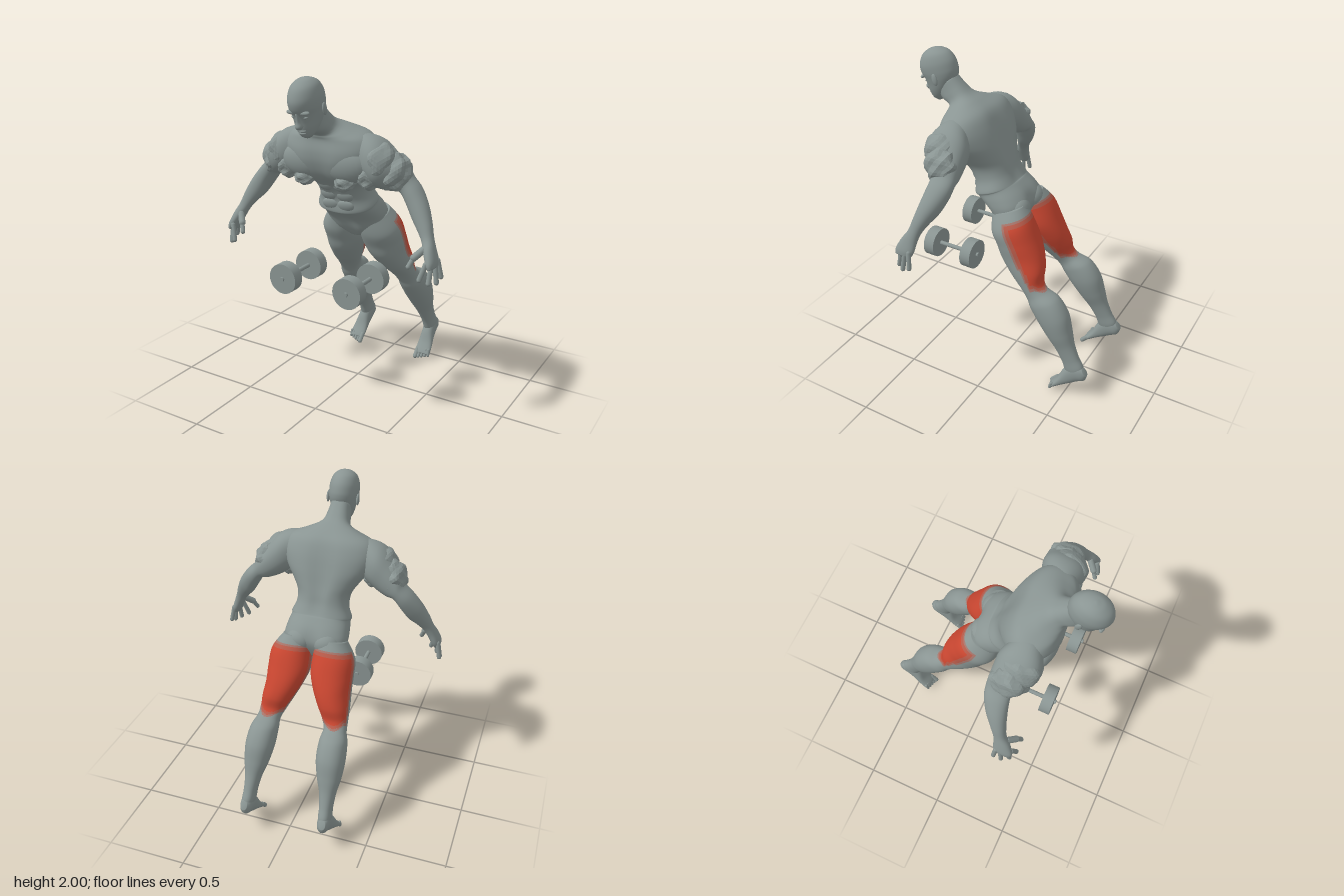
import * as THREE from 'three';

const body = new THREE.MeshStandardMaterial({ color: 0x8a9593 });
body.name = 'bodyGrey';
const red = new THREE.MeshStandardMaterial({ color: 0xcb4731 });
red.name = 'muscleRed';
const fade = new THREE.MeshStandardMaterial({ color: 0xb85b4a });
fade.name = 'muscleEdge';
const faint = new THREE.MeshStandardMaterial({ color: 0xa6746a });
faint.name = 'muscleFaintEdge';

// Catmull-Rom blend of a table of numbers at row position u
function sample(rows, u) {
  const i = Math.min(Math.floor(u), rows.length - 2), t = u - i;
  const at = k => rows[Math.max(0, Math.min(rows.length - 1, k))];
  const [a, b, c, d] = [at(i - 1), at(i), at(i + 1), at(i + 2)];
  return b.map((_, k) => b[k] + 0.5 * t * (c[k] - a[k] + t * (2 * a[k] - 5 * b[k] + 4 * c[k] - d[k]
    + t * (3 * (b[k] - c[k]) + d[k] - a[k]))));
}

// Loft: each row is two opposite points, the half width across them, and a centre groove
function loft(rows, { across = 'x', mirror = 1, power = 2.2, paint = () => 0, steps = 5, sides = 36 } = {}) {
  const pos = [], tris = [[], [], [], []];
  const rings = (rows.length - 1) * steps;
  const sp = v => Math.sign(v) * Math.pow(Math.abs(v), 2 / power);
  for (let r = 0; r <= rings; r++) {
    const [px, py, pz, qx, qy, qz, h, g = 0] = sample(rows, r / steps);
    for (let s = 0; s < sides; s++) {
      const t = (s / sides) * Math.PI * 2, w = sp(Math.sin(t)) * h;
      const d = sp(Math.cos(t)) * (1 - g * Math.exp(-Math.pow(Math.sin(t) / 0.2, 2)));
      const x = (px + qx) / 2 + (px - qx) / 2 * d + (across === 'x' ? w : 0);
      const z = (pz + qz) / 2 + (pz - qz) / 2 * d + (across === 'z' ? w : 0);
      pos.push(x * mirror, (py + qy) / 2 + (py - qy) / 2 * d, z);
    }
  }
  for (let r = 0; r < rings; r++) for (let s = 0; s < sides; s++) {
    const n = (s + 1) % sides, a = r * sides + s, b = r * sides + n;
    tris[paint((r + 0.5) / steps, (s + 0.5) / sides * Math.PI * 2)].push(a, b, a + sides, b, b + sides, a + sides);
  }
  // end caps
  for (const r of [0, rings]) {
    const c = [0, 0, 0], id = pos.length / 3;
    for (let s = 0; s < sides; s++) for (let k = 0; k < 3; k++) c[k] += pos[(r * sides + s) * 3 + k] / sides;
    pos.push(...c);
    for (let s = 0; s < sides; s++) {
      const a = r * sides + s, b = r * sides + (s + 1) % sides;
      tris[0].push(...(r ? [a, b, id] : [b, a, id]));
    }
  }
  // face outwards: the signed volume must be positive
  let vol = 0;
  const v = i => new THREE.Vector3().fromArray(pos, i * 3), all = tris.flat();
  for (let i = 0; i < all.length; i += 3) vol += v(all[i]).dot(v(all[i + 1]).cross(v(all[i + 2])));
  if (vol < 0) for (const list of tris) list.reverse();
  const geo = new THREE.BufferGeometry();
  geo.setAttribute('position', new THREE.Float32BufferAttribute(pos, 3));
  geo.setIndex(tris.flat());
  let start = 0;
  tris.forEach((list, m) => { if (list.length) geo.addGroup(start, list.length, m); start += list.length; });
  geo.computeVertexNormals();
  return geo;
}

// rows written as frontZ, frontY, backZ, backY, centreX, halfWidth, groove
const sideRows = rows => rows.map(([fz, fy, bz, by, cx, w, g = 0]) => [cx, fy, fz, cx, by, bz, w, g]);
// rows written as outerX, outerY, innerX, innerY, centreZ, halfDepth
const frontRows = rows => rows.map(([ox, oy, ix, iy, z, w]) => [ox, oy, z, ix, iy, z, w, 0]);

// hamstring highlight: 1 red, 2 edge, 3 faint edge, by leg row u and angle t round the leg
function paintThigh(u, t) {
  const c = Math.cos(t);
  const limit = u < 3 ? 0 : -0.1 * (u - 3);
  const low = 5.25 + 0.75 * Math.max(0, (-c - 0.6) / 0.4);
  const inside = Math.min((limit - c) / 0.3, (u - 0.62) / 0.35, (low - u) / 0.7);
  return inside < 0 ? 0 : inside < 0.35 ? 3 : inside < 0.85 ? 2 : 1;
}

export function createModel() {
  const model = new THREE.Group();
  model.name = 'exerciseFigure';
  const add = (name, geo, mat = body, parent = model) => {
    const m = new THREE.Mesh(geo, mat);
    m.name = name;
    parent.add(m);
    return m;
  };
  const ball = (name, p, s, rx = 0) => {
    const m = add(name, new THREE.SphereGeometry(1, 24, 16));
    m.position.set(...p); m.scale.set(...s); m.rotation.x = rx;
  };
  const digit = (name, a, b, r) => {
    const A = new THREE.Vector3(...a), B = new THREE.Vector3(...b), d = B.clone().sub(A);
    const m = add(name, new THREE.CapsuleGeometry(r, d.length(), 5, 10));
    m.position.copy(A).add(B).multiplyScalar(0.5);
    m.quaternion.setFromUnitVectors(new THREE.Vector3(0, 1, 0), d.normalize());
  };
  // crumpled lump with faceted ridges
  const crumple = (name, p, s, seed, rough) => {
    const geo = new THREE.IcosahedronGeometry(1, 5), a = geo.attributes.position;
    for (let i = 0; i < a.count; i++) {
      const [x, y, z] = [a.getX(i), a.getY(i), a.getZ(i)];
      const k = 1 + rough * (Math.sin(6 * x + seed) * Math.sin(5 * y + 2 * seed) + 0.6 * Math.sin(9 * z + 6 * y + seed));
      a.setXYZ(i, x * k, y * k, z * k);
    }
    geo.computeVertexNormals();
    const m = add(name, geo);
    m.position.set(...p); m.scale.set(...s);
  };

  // torso with waistband step, chest and neck
  add('torso', loft(sideRows([
    [0.03, 0.98, -0.07, 1.03, 0, 0.08], [0.085, 1.03, -0.115, 1.12, 0, 0.18, 0.12], [0.13, 1.1, -0.115, 1.17, 0, 0.196, 0.12],
    [0.19, 1.15, -0.08, 1.222, 0, 0.19, 0.04], [0.225, 1.17, -0.028, 1.27, 0, 0.181], [0.238, 1.185, -0.015, 1.283, 0, 0.185, 0.03],
    [0.247, 1.26, 0.012, 1.335, 0, 0.16, 0.08], [0.3, 1.345, 0.03, 1.39, 0, 0.164, 0.09], [0.395, 1.42, 0.048, 1.45, 0, 0.21, 0.1],
    [0.435, 1.5, 0.075, 1.53, 0, 0.265, 0.1], [0.44, 1.57, 0.115, 1.62, 0, 0.285, 0.08], [0.425, 1.635, 0.165, 1.69, 0, 0.25, 0.05],
    [0.425, 1.66, 0.24, 1.73, 0, 0.16], [0.435, 1.675, 0.31, 1.76, 0, 0.088], [0.49, 1.7, 0.36, 1.8, 0, 0.07],
    [0.52, 1.74, 0.41, 1.85, 0, 0.062]]), { power: 2.4, sides: 60 }));

  // head, nose and mouth
  add('head', loft(sideRows([
    [0.53, 1.672, 0.48, 1.7, 0, 0.026], [0.56, 1.685, 0.44, 1.76, 0, 0.053], [0.583, 1.72, 0.42, 1.8, 0, 0.07],
    [0.597, 1.765, 0.405, 1.84, 0, 0.08], [0.612, 1.8, 0.4, 1.87, 0, 0.086], [0.637, 1.835, 0.403, 1.9, 0, 0.09],
    [0.647, 1.88, 0.42, 1.945, 0, 0.088], [0.63, 1.938, 0.455, 1.982, 0, 0.071], [0.59, 1.978, 0.5, 1.997, 0, 0.04],
    [0.553, 1.994, 0.535, 1.999, 0, 0.008]]), { power: 2, sides: 44 }));
  add('nose', loft(sideRows([[0.625, 1.82, 0.59, 1.83, 0, 0.012], [0.618, 1.77, 0.57, 1.79, 0, 0.014],
    [0.62, 1.74, 0.57, 1.755, 0, 0.021], [0.605, 1.726, 0.57, 1.74, 0, 0.013]])));
  ball('upperLip', [0, 1.722, 0.575], [0.03, 0.008, 0.014], 0.5);
  ball('lowerLip', [0, 1.708, 0.567], [0.026, 0.008, 0.014], 0.5);

  for (const m of [1, -1]) {
    const side = m > 0 ? 'left' : 'right';
    const P = (x, y, z) => [x * m, y, z];

    // face and trunk muscles
    ball(side + 'Ear', P(0.094, 1.834, 0.495), [0.01, 0.036, 0.018], 0.25);
    ball(side + 'Eye', P(0.036, 1.797, 0.588), [0.016, 0.008, 0.013], 0.5);
    ball(side + 'Brow', P(0.038, 1.822, 0.606), [0.034, 0.012, 0.016], 0.5);
    ball(side + 'Pectoral', P(0.135, 1.505, 0.357), [0.145, 0.105, 0.072], 0.1);
    [[1.355, 0.276], [1.285, 0.233], [1.22, 0.22]].forEach(([y, z]) =>
      ball(side + 'Abdominal', P(0.052, y, z), [0.056, 0.042, 0.024], 0.4));
    ball(side + 'Buttock', P(0.085, 1.13, -0.055), [0.085, 0.075, 0.075], 0.5);

    // thigh with highlighted hamstring, knee and calf in one skin
    add(side + 'Leg', loft(sideRows([
      [0.09, 1.1, -0.108, 1.175, 0.104, 0.092], [0.075, 1.0, -0.17, 1.09, 0.132, 0.126], [0.035, 0.92, -0.222, 0.985, 0.137, 0.13],
      [0, 0.845, -0.264, 0.89, 0.152, 0.115], [-0.08, 0.755, -0.287, 0.81, 0.178, 0.098], [-0.16, 0.685, -0.29, 0.735, 0.2, 0.08],
      [-0.21, 0.625, -0.325, 0.695, 0.215, 0.071], [-0.238, 0.575, -0.41, 0.66, 0.223, 0.084], [-0.3, 0.49, -0.478, 0.575, 0.229, 0.088],
      [-0.365, 0.405, -0.512, 0.47, 0.236, 0.074], [-0.42, 0.33, -0.538, 0.38, 0.242, 0.052], [-0.465, 0.255, -0.575, 0.295, 0.247, 0.041],
      [-0.487, 0.2, -0.61, 0.235, 0.25, 0.04], [-0.5, 0.165, -0.61, 0.19, 0.252, 0.035]]),
      { mirror: m, paint: paintThigh, steps: 10, sides: 64 }), [body, red, fade, faint]);

    // foot raised on the toes
    add(side + 'Foot', loft(sideRows([
      [-0.612, 0.235, -0.642, 0.19, 0.255, 0.02], [-0.57, 0.25, -0.628, 0.15, 0.252, 0.036], [-0.525, 0.235, -0.59, 0.128, 0.251, 0.041],
      [-0.482, 0.18, -0.54, 0.095, 0.254, 0.043], [-0.45, 0.112, -0.475, 0.058, 0.258, 0.051], [-0.412, 0.062, -0.43, 0.03, 0.26, 0.054],
      [-0.402, 0.045, -0.415, 0.025, 0.26, 0.046]]), { mirror: m }));
    for (let i = 0; i < 5; i++) {
      const x = 0.22 + i * 0.021, r = i ? 0.0105 : 0.015;
      digit(side + 'Toe', P(x, 0.055 + i * 0.003, -0.425), P(x, r + 0.002 + i * 0.005, -0.39 - i * 0.006), r);
    }

    // arm from inside the shoulder to the palm
    add(side + 'Arm', loft(frontRows([
      [0.12, 1.66, 0.1, 1.52, 0.28, 0.06], [0.22, 1.68, 0.18, 1.48, 0.28, 0.088], [0.315, 1.655, 0.25, 1.43, 0.275, 0.125],
      [0.39, 1.585, 0.31, 1.39, 0.27, 0.128], [0.45, 1.51, 0.37, 1.37, 0.24, 0.1], [0.475, 1.455, 0.42, 1.365, 0.22, 0.078],
      [0.53, 1.4, 0.46, 1.31, 0.225, 0.074], [0.588, 1.32, 0.51, 1.23, 0.25, 0.063], [0.63, 1.235, 0.555, 1.18, 0.28, 0.048],
      [0.655, 1.165, 0.592, 1.135, 0.305, 0.04], [0.678, 1.11, 0.62, 1.085, 0.33, 0.05], [0.7, 1.05, 0.648, 1.03, 0.347, 0.06],
      [0.704, 1.015, 0.662, 1.0, 0.355, 0.052]]), { across: 'z', mirror: m }));
    [[0.66, 1.035, 0.395, 0.634, 0.948, 0.418], [0.68, 1.02, 0.37, 0.678, 0.928, 0.393],
      [0.69, 1.02, 0.34, 0.705, 0.925, 0.35], [0.69, 1.04, 0.31, 0.709, 0.945, 0.303]].forEach(f =>
      digit(side + 'Finger', P(f[0], f[1], f[2]), P(f[3], f[4], f[5]), 0.0145));
    digit(side + 'Thumb', P(0.625, 1.1, 0.355), P(0.588, 1.06, 0.395), 0.02);
    digit(side + 'ThumbTip', P(0.588, 1.06, 0.395), P(0.568, 1.012, 0.418), 0.014);

    // crumpled skin round the upper arm and under the chest
    crumple(side + 'UpperArmFold', P(0.395, 1.475, 0.255), [0.085, 0.105, 0.112], 1.3, 0.09);
    crumple(side + 'ShoulderFold', P(0.325, 1.53, 0.29), [0.09, 0.11, 0.12], 2.7, 0.05);
    crumple(side + 'ArmpitFold', P(0.27, 1.45, 0.31), [0.07, 0.075, 0.09], 4.1, 0.08);
    crumple(side + 'ChestFold', P(0.135, 1.41, 0.36), [0.062, 0.05, 0.055], 5.2, 0.09);

    // dumbbell
    const bell = new THREE.Group();
    bell.name = side + 'Dumbbell';
    bell.position.set(0.22 * m, 0.8, 0.327);
    model.add(bell);
    const rod = (name, r, len, z) => {
      const c = add(name, new THREE.CylinderGeometry(r, r, len, 36), body, bell);
      c.rotation.x = Math.PI / 2;
      c.position.z = z;
    };
    rod('handle', 0.013, 0.36, 0);
    for (const e of [1, -1]) rod('weight', 0.092, 0.07, e * 0.133);
  }
  return model;
}
